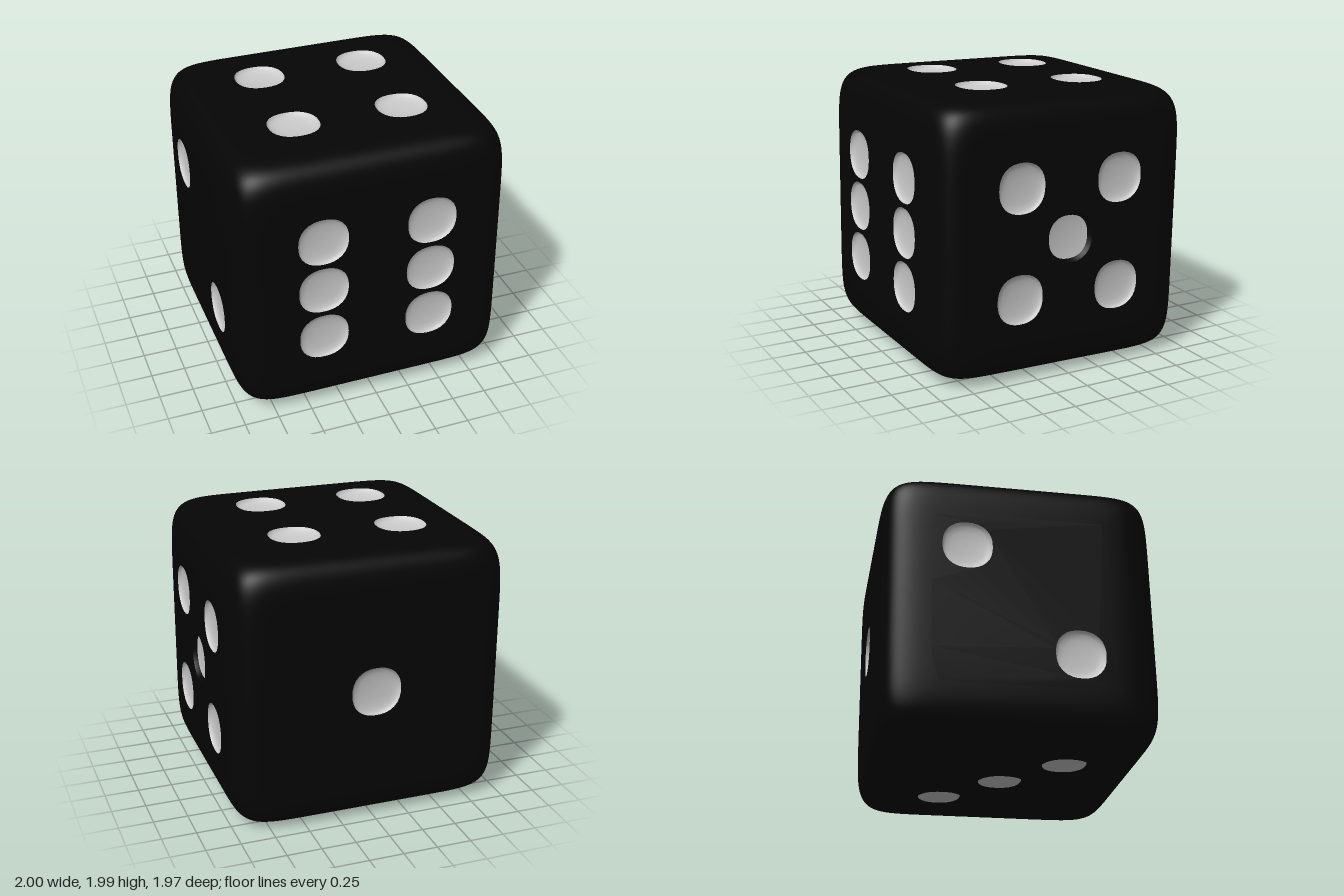
import * as THREE from 'three';
import { mergeGeometries } from 'three/addons/utils/BufferGeometryUtils.js';

const N = 9.5;          // roundness power of the cube
const PANEL = 0.65;     // half size of the face area that carries the pips
const GRID = 80;        // grid cells along a face
const SEG = 32;         // sides of a pip
const R = 0.18;         // pip radius

const bodyMat = new THREE.MeshStandardMaterial({ color: 0x050505 });
const pipMat = new THREE.MeshStandardMaterial({ color: 0xcccccc });

// slightly squared circle
const squircle = (a) =>
  Math.pow(Math.pow(Math.abs(Math.cos(a)), 2.3) + Math.pow(Math.abs(Math.sin(a)), 2.3), -1 / 2.3);

// pull points of the plane z = 1 onto the rounded cube, with smooth normals
function roundOff(geo) {
  const pos = geo.attributes.position, nor = geo.attributes.normal;
  const v = new THREE.Vector3();
  const grad = (t) => Math.sign(t) * Math.pow(Math.abs(t), N - 1);
  for (let i = 0; i < pos.count; i++) {
    v.set(pos.getX(i), pos.getY(i), 1);
    const len = Math.pow(Math.abs(v.x) ** N + Math.abs(v.y) ** N + 1, 1 / N);
    v.divideScalar(len);
    pos.setXYZ(i, v.x, v.y, v.z);
    v.set(grad(v.x), grad(v.y), grad(v.z)).normalize();
    nor.setXYZ(i, v.x, v.y, v.z);
  }
  return geo;
}

// one face of the cube: a rim grid around a panel with round holes
function faceGeometry(pips) {
  const rim = new THREE.PlaneGeometry(2, 2, GRID, GRID);
  const p = rim.attributes.position, idx = rim.index.array, kept = [];
  for (let i = 0; i < idx.length; i += 3) {
    const [a, b, c] = [idx[i], idx[i + 1], idx[i + 2]];
    const x = (p.getX(a) + p.getX(b) + p.getX(c)) / 3;
    const y = (p.getY(a) + p.getY(b) + p.getY(c)) / 3;
    if (Math.max(Math.abs(x), Math.abs(y)) > PANEL) kept.push(a, b, c);
  }
  rim.setIndex(kept);

  const corners = [[-1, -1], [1, -1], [1, 1], [-1, 1]];
  const steps = Math.round(PANEL * GRID), outline = [];
  corners.forEach(([x, y], k) => {
    const [x2, y2] = corners[(k + 1) % 4];
    for (let i = 0; i < steps; i++) {
      const t = i / steps;
      outline.push(new THREE.Vector2((x + (x2 - x) * t) * PANEL, (y + (y2 - y) * t) * PANEL));
    }
  });
  const shape = new THREE.Shape(outline);
  for (const [x, y] of pips) {
    const hole = [];
    for (let i = 0; i < SEG; i++) {
      const a = -(i / SEG) * Math.PI * 2, r = R * squircle(a);
      hole.push(new THREE.Vector2(x + r * Math.cos(a), y + r * Math.sin(a)));
    }
    shape.holes.push(new THREE.Path(hole));
  }
  return roundOff(mergeGeometries([rim, new THREE.ShapeGeometry(shape)]));
}

// hollow turned from a profile of [radius, height], opening towards +z
function hollow(profile) {
  const geo = new THREE.LatheGeometry(profile.map(([r, h]) => new THREE.Vector2(r, h)), SEG);
  const pos = geo.attributes.position;
  for (let i = 0; i < pos.count; i++) {
    const k = squircle(Math.atan2(pos.getZ(i), pos.getX(i)));
    pos.setXYZ(i, pos.getX(i) * k, pos.getY(i), pos.getZ(i) * k);
  }
  return geo.rotateX(Math.PI / 2);
}

const dish = hollow([[R, 0], [0.172, -0.014], [0.155, -0.025], [0.12, -0.034], [0.06, -0.039], [0, -0.04]]);
// deeper pips have a dark wall above the pale floor
const wall = hollow([[R, 0], [0.172, -0.015], [0.158, -0.03]]);
const floor = hollow([[0.158, -0.03], [0.12, -0.036], [0.06, -0.04], [0, -0.041]]);

export function createModel() {
  const model = new THREE.Group();
  model.name = 'die';
  const d = 0.395, h = Math.PI / 2;
  const four = [[-d, d], [d, d], [-d, -d], [d, -d]];
  const faces = [
    { name: 'front', rot: [0, 0, 0], pips: [...four, [-d, 0], [d, 0]] },
    { name: 'back', rot: [0, Math.PI, 0], pips: [[0, 0]] },
    { name: 'fivePipSide', rot: [0, h, 0], pips: [...four, [0, 0]], deep: [4] },
    { name: 'twoPipSide', rot: [0, -h, 0], pips: [[-d, d], [d, -d]] },
    { name: 'top', rot: [-h, 0, 0], pips: four },
    { name: 'bottom', rot: [h, 0, 0], pips: [[d, -d], [0, 0], [-d, d]], deep: [0, 1, 2] },
  ];

  // the cube is slightly uneven and leans back a little
  const cube = new THREE.Group();
  cube.name = 'cube';
  cube.scale.set(1, 0.988, 0.976);
  const tilt = new THREE.Group();
  tilt.name = 'tiltedBody';
  tilt.rotation.x = -0.016;
  tilt.position.y = 1;
  tilt.add(cube);
  model.add(tilt);

  for (const { name, rot, pips, deep = [] } of faces) {
    const face = new THREE.Group();
    face.name = name + 'Face';
    face.rotation.set(...rot);
    const add = (geo, mat, part, x = 0, y = 0, z = 0) => {
      const mesh = new THREE.Mesh(geo, mat);
      mesh.name = part;
      mesh.position.set(x, y, z);
      face.add(mesh);
    };
    add(faceGeometry(pips), bodyMat, name + 'Shell');
    pips.forEach(([x, y], i) => {
      if (deep.includes(i)) {
        add(wall, bodyMat, 'pipWall', x, y, 1);
        add(floor, pipMat, 'pip', x, y, 1);
      } else add(dish, pipMat, 'pip', x, y, 1);
    });
    cube.add(face);
  }
  return model;
}
